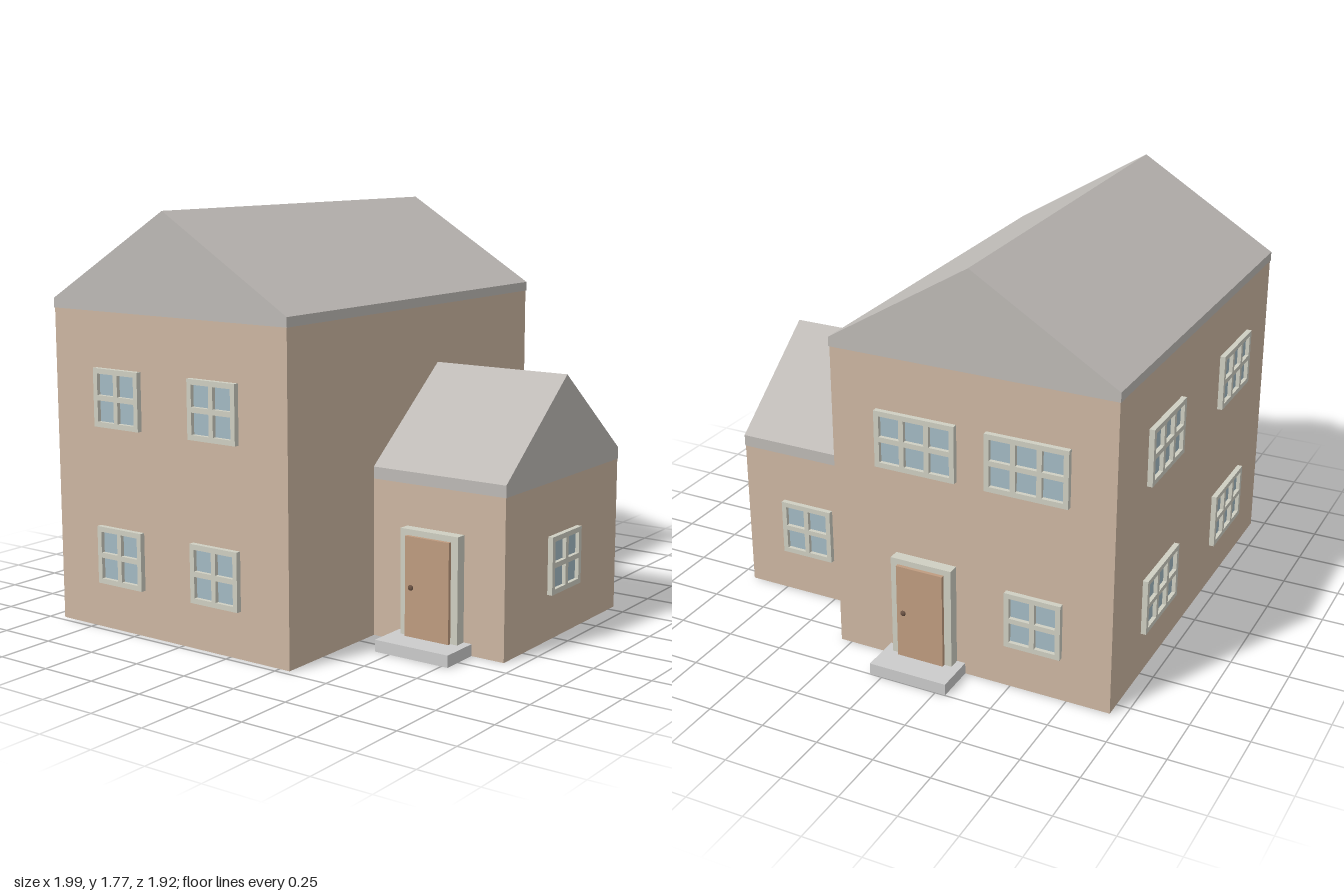
import * as THREE from 'three';

const mat = (color, side = THREE.FrontSide) =>
  new THREE.MeshStandardMaterial({ color, side, flatShading: true });
const M = {
  wall: mat(0xcdb7a2, THREE.DoubleSide),
  roof: mat(0xbebab6),
  frame: mat(0xcfcfc2),
  glass: mat(0xa4bac4),
  door: mat(0xbf9c80),
  knob: mat(0x6b5344),
  step: mat(0xbcbcbe, THREE.DoubleSide),
};

function add(parent, name, geo, material, x = 0, y = 0, z = 0) {
  const mesh = new THREE.Mesh(geo, material);
  mesh.name = name;
  mesh.position.set(x, y, z);
  parent.add(mesh);
  return mesh;
}

const shapeOf = (pts) => new THREE.Shape(pts.map(([x, y]) => new THREE.Vector2(x, y)));

// Vertical wall strip following a closed [x, z] outline (counter-clockwise seen from above)
function wallLoop(pts, y0, y1) {
  const pos = [];
  pts.forEach(([ax, az], i) => {
    const [bx, bz] = pts[(i + 1) % pts.length];
    pos.push(ax, y0, az, bx, y0, bz, bx, y1, bz);
    pos.push(ax, y0, az, bx, y1, bz, ax, y1, az);
  });
  const g = new THREE.BufferGeometry();
  g.setAttribute('position', new THREE.Float32BufferAttribute(pos, 3));
  g.computeVertexNormals();
  return g;
}

// Horizontal slab face over an [x, z] outline
function flatPlate(pts) {
  const g = new THREE.ShapeGeometry(shapeOf(pts));
  g.rotateX(Math.PI / 2);
  return g;
}

// Gable roof with a low eave band; the ridge runs along local z
function gableRoof(width, length, eave, rise) {
  const w = width / 2;
  const s = shapeOf([[-w, 0], [w, 0], [w, eave], [0, rise], [-w, eave]]);
  return new THREE.ExtrudeGeometry(s, { depth: length, bevelEnabled: false }).translate(0, 0, -length / 2);
}

// Window facing local +z, centred on its origin, with square panes
function makeWindow(cols, rows = 2) {
  const pane = 0.09, bar = 0.022, pitch = pane + bar, depth = 0.025;
  const w = cols * pitch + bar, h = rows * pitch + bar;
  const g = new THREE.Group();
  const s = shapeOf([[-w / 2, -h / 2], [w / 2, -h / 2], [w / 2, h / 2], [-w / 2, h / 2]]);
  for (let c = 0; c < cols; c++) {
    for (let r = 0; r < rows; r++) {
      const x = -w / 2 + bar + c * pitch, y = -h / 2 + bar + r * pitch;
      s.holes.push(shapeOf([[x, y], [x, y + pane], [x + pane, y + pane], [x + pane, y]]));
    }
  }
  const frame = new THREE.ExtrudeGeometry(s, { depth: depth - 0.002, bevelEnabled: false });
  add(g, 'windowFrame', frame, M.frame, 0, 0, 0.002);
  add(g, 'windowGlass', new THREE.PlaneGeometry(w - bar, h - bar), M.glass, 0, 0, 0.008);
  return g;
}

// Door facing local +z, standing on the ground, with its doorstep
function makeDoor() {
  const g = new THREE.Group();
  add(g, 'doorFrame', new THREE.BoxGeometry(0.275, 0.475, 0.048), M.frame, 0, 0.2575, 0.026);
  add(g, 'doorPanel', new THREE.BoxGeometry(0.21, 0.42, 0.016), M.door, 0, 0.26, 0.058);
  const stem = new THREE.CylinderGeometry(0.006, 0.006, 0.01, 10).rotateX(Math.PI / 2);
  add(g, 'knobStem', stem, M.knob, -0.072, 0.26, 0.069);
  const knob = new THREE.SphereGeometry(0.012, 12, 8).scale(1, 1, 0.6);
  add(g, 'doorKnob', knob, M.knob, -0.072, 0.26, 0.074);
  // Hollow doorstep, open underneath
  const rim = [[-0.175, 0.178], [0.175, 0.178], [0.175, 0], [-0.175, 0]];
  add(g, 'stepSides', wallLoop(rim, 0, 0.05), M.step);
  add(g, 'stepTop', flatPlate(rim), M.step, 0, 0.05, 0);
  return g;
}

export function createModel() {
  const house = new THREE.Group();
  house.name = 'house';

  const L = -0.97, R = 0.82, B = -0.94, F = 0.3; // main block
  const eL = -0.4, eR = 0.55, eF = 0.93; // front extension
  const floorY = 0.67, topY = 1.35;

  // Walls: the lower storey includes the extension, open underneath
  const lower = [[L, B], [L, F], [eL, F], [eL, eF], [eR, eF], [eR, F], [R, F], [R, B]];
  const upper = [[L, B], [L, F], [R, F], [R, B]];
  add(house, 'lowerWalls', wallLoop(lower, 0, floorY), M.wall);
  add(house, 'upperWalls', wallLoop(upper, floorY, topY), M.wall);
  add(house, 'upperFloor', flatPlate(lower), M.wall, 0, floorY, 0);

  // Roofs
  const main = add(house, 'mainRoof', gableRoof(F - B + 0.006, R - L + 0.006, 0.04, 0.42), M.roof,
    (L + R) / 2, topY, (F + B) / 2);
  main.rotation.y = Math.PI / 2;
  add(house, 'extensionRoof', gableRoof(eR - eL + 0.004, eF - F + 0.002, 0.05, 0.43), M.roof,
    (eL + eR) / 2, floorY, (F + eF) / 2 + 0.001);

  const put = (part, name, x, y, z, turn) => {
    part.name = name;
    part.position.set(x, y, z);
    part.rotation.y = turn * Math.PI / 2;
    house.add(part);
  };

  // Windows
  const lowY = 0.322, highY = 1.0;
  put(makeWindow(2), 'extensionFrontWindow', 0.063, lowY, eF, 0);
  put(makeWindow(2), 'extensionSideWindow', eR, lowY, 0.617, 1);
  put(makeWindow(2), 'lowerSideWindow', R, lowY, -0.605, 1);
  for (const z of [-0.085, -0.573]) put(makeWindow(3), 'upperSideWindow', R, highY, z, 1);
  for (const y of [lowY, highY - 0.007]) {
    for (const z of [-0.065, -0.58]) put(makeWindow(2), 'farSideWindow', L, y, z, -1);
    for (const x of [-0.497, 0.333]) put(makeWindow(3), 'backWindow', x, y, B, 2);
  }

  // Doors with steps
  put(makeDoor(), 'mainDoor', R, 0, -0.12, 1);
  put(makeDoor(), 'extensionDoor', eL, 0, 0.605, -1);

  return house;
}
